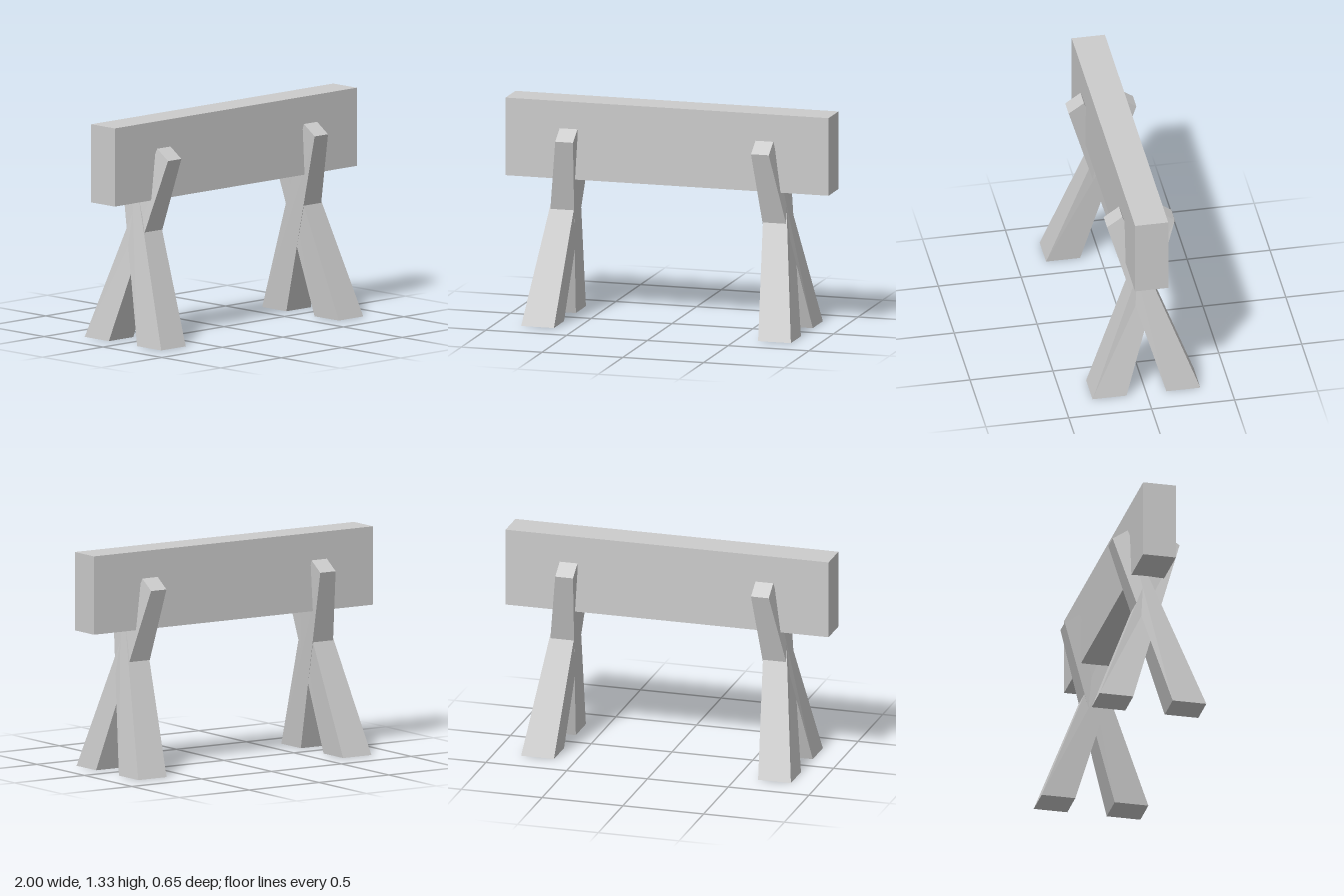
import * as THREE from 'three';

const material = new THREE.MeshStandardMaterial({ color: 0xcccccc, flatShading: true });

// Tapered, leaning leg: sx picks the end of the beam, sz the side its foot stands on.
function makeLeg(sx, sz) {
  const geometry = new THREE.BoxGeometry(1, 1, 1);
  const p = geometry.attributes.position;
  for (let i = 0; i < p.count; i++) {
    const outX = p.getX(i) * sx > 0;
    const outZ = p.getZ(i) * sz > 0;
    if (p.getY(i) < 0) {
      // Foot, flat on the ground
      p.setXYZ(i, sx * (outX ? 0.835 : 0.632), 0, sz * (outZ ? 0.325 : 0.12));
    } else {
      // Narrower head, past the crossing on the other side of the beam
      p.setXYZ(i, sx * (outX ? 0.661 : 0.551), outZ ? 1.165 : 1.102, sz * (outZ ? -0.112 : -0.204));
    }
  }
  geometry.computeVertexNormals();
  const leg = new THREE.Mesh(geometry, material);
  leg.name = (sz > 0 ? 'front' : 'back') + (sx > 0 ? 'Left' : 'Right') + 'Leg';
  return leg;
}

export function createModel() {
  const model = new THREE.Group();
  model.name = 'sawhorse';

  // Beam resting in the crossed legs
  const beam = new THREE.Mesh(new THREE.BoxGeometry(2, 0.47, 0.2), material);
  beam.name = 'beam';
  beam.position.y = 1.092;
  model.add(beam);

  // A crossed pair of legs at each end
  for (const sx of [-1, 1]) {
    const pair = new THREE.Group();
    pair.name = sx > 0 ? 'leftLegPair' : 'rightLegPair';
    for (const sz of [-1, 1]) pair.add(makeLeg(sx, sz));
    model.add(pair);
  }
  return model;
}
